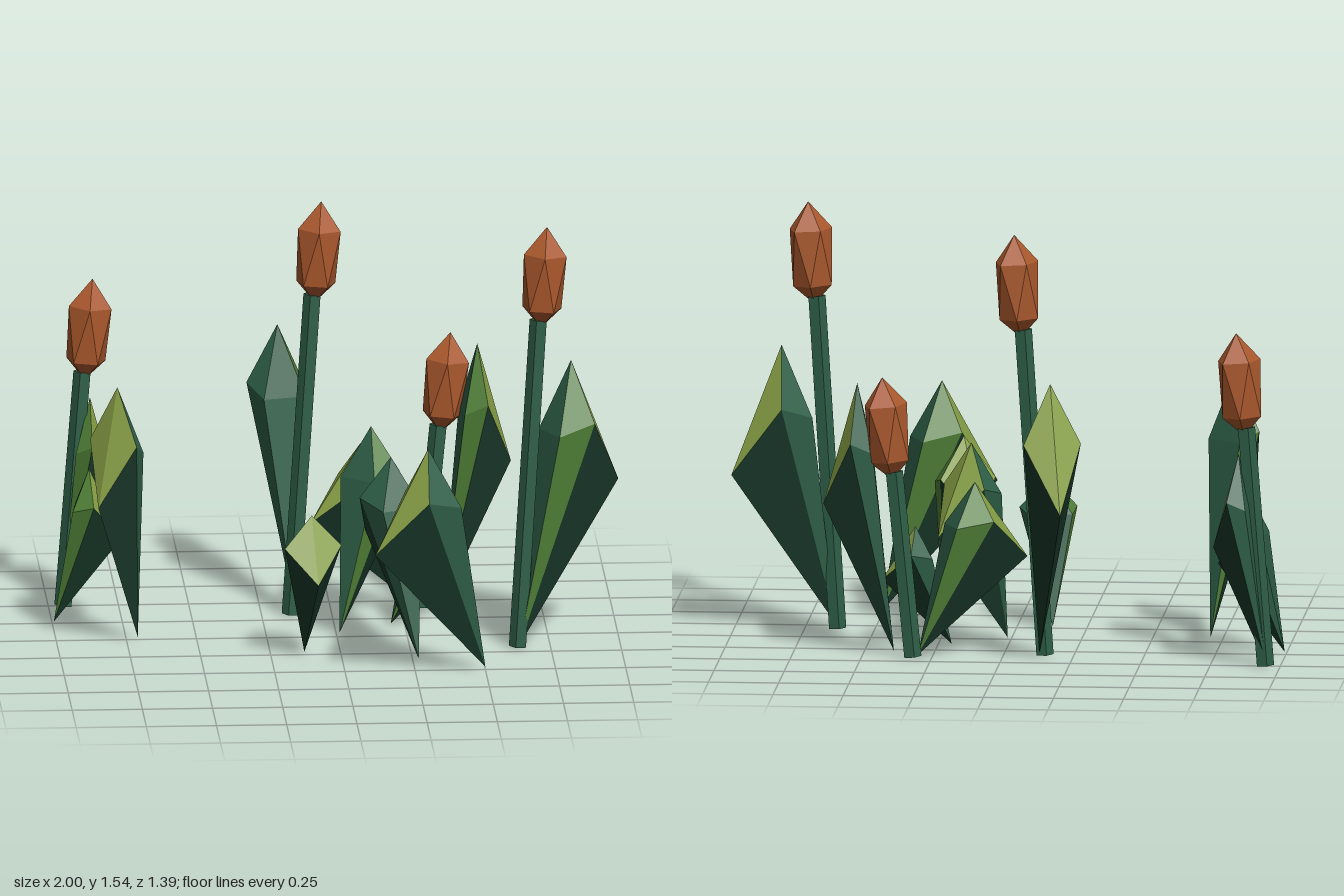
import * as THREE from 'three';
import { ConvexGeometry } from 'three/addons/geometries/ConvexGeometry.js';

const mat = (name, color) => {
  const m = new THREE.MeshStandardMaterial({ color });
  m.name = name;
  return m;
};

// Separate the corners so that every facet is flat
function faceted(geometry) {
  const g = geometry.index ? geometry.toNonIndexed() : geometry;
  g.computeVertexNormals();
  return g;
}

// Leaf: a tilted five-sided ring between a root point and a tip.
// root = [x, z], reach = [x, z] offset of the outermost corner
function leafGeometry(root, reach, height) {
  const len = Math.hypot(reach[0], reach[1]);
  const point = (along, side, y) => [
    root[0] + reach[0] * along - reach[1] / len * side,
    y * height,
    root[1] + reach[1] * along + reach[0] / len * side,
  ];
  const base = point(0, 0, 0.01);
  const tip = point(0.52, 0, 1);
  const ring = [
    point(1, 0, 0.555), point(0.62, 0.104, 0.79), point(0.3, 0.078, 0.75),
    point(0.3, -0.078, 0.75), point(0.62, -0.104, 0.79),
  ];
  // Material slots of the five sides: 0 dark, 1 light, 2 mid, 3 deep
  const upper = [1, 2, 0, 0, 1], lower = [3, 2, 0, 0, 3];
  const g = new THREE.BufferGeometry();
  const corners = [];
  for (let i = 0; i < 5; i++) {
    const a = ring[i], b = ring[(i + 1) % 5];
    corners.push(...tip, ...b, ...a, ...base, ...a, ...b);
    g.addGroup(i * 6, 3, upper[i]);
    g.addGroup(i * 6 + 3, 3, lower[i]);
  }
  g.setAttribute('position', new THREE.Float32BufferAttribute(corners, 3));
  return faceted(g);
}

// Seed head: two twisted five-sided rings between two points
function headGeometry(length) {
  const points = [new THREE.Vector3(0, 0, 0), new THREE.Vector3(0, length, 0)];
  for (const [radius, y, twist] of [[0.073, 0.07, 0], [0.08, length - 0.1, Math.PI / 5]]) {
    for (let i = 0; i < 5; i++) {
      const a = i * Math.PI * 0.4 + twist;
      points.push(new THREE.Vector3(Math.cos(a) * radius, y, Math.sin(a) * radius));
    }
  }
  return faceted(new ConvexGeometry(points));
}

export function createModel() {
  const darkGreen = mat('dark green', 0x2f6048);
  const deepGreen = mat('deep green', 0x1a3a2b);
  const midGreen = mat('mid green', 0x4f7f36);
  const lightGreen = mat('light green', 0x88a146);
  const brown = mat('reed brown', 0xab592d);
  const model = new THREE.Group();
  model.name = 'reeds';

  // Reeds: x, z, total height, sideways drift of the top
  const headLength = 0.37;
  const reeds = [
    [0.635, 0.18, 1.54, 0.095],
    [-0.145, -0.33, 1.515, 0.1],
    [-0.945, -0.5, 1.2, 0.095],
    [0.32, -0.41, 1.01, 0.1],
  ];
  for (const [x, z, height, drift] of reeds) {
    const reed = new THREE.Group();
    reed.name = 'reed';
    reed.position.set(x, 0, z);
    reed.rotation.z = -Math.atan2(drift, height);

    // Five-sided stem with one brighter side
    const length = height - headLength + 0.03;
    const stemGeo = faceted(new THREE.CylinderGeometry(0.033, 0.033, length, 5, 1, false, Math.PI * 0.3));
    stemGeo.clearGroups();
    stemGeo.addGroup(0, 6, 1);
    stemGeo.addGroup(6, stemGeo.attributes.position.count - 6, 0);
    const stem = new THREE.Mesh(stemGeo, [darkGreen, midGreen]);
    stem.name = 'stem';
    stem.position.y = length / 2;

    const head = new THREE.Mesh(headGeometry(headLength), brown);
    head.name = 'seedHead';
    head.position.set(0.008, height - headLength, 0);
    head.rotation.y = 0.25;
    reed.add(stem, head);
    model.add(reed);
  }

  // Leaves: root, reach, height
  const leaves = [
    [[-0.13, -0.36], [-0.1, -0.34], 1.01],
    [[0.39, -0.35], [0.25, -0.02], 0.975],
    [[-0.995, -0.24], [0.24, 0.03], 0.57],
    [[-0.71, 0.01], [-0.15, 0.175], 0.95],
    [[-0.13, 0.24], [0.04, 0.19], 0.53],
    [[0.27, 0.37], [-0.17, -0.37], 0.7],
    [[0.01, -0.02], [0.23, -0.25], 0.73],
    [[0.5, 0.5], [-0.4, 0.155], 0.83],
    [[0.64, 0.2], [0.36, -0.17], 1.03],
    [[0.2, -0.15], [0.245, -0.04], 0.43],
    [[0.3, -0.41], [-0.38, 0.14], 0.62],
    [[-0.95, -0.52], [0.19, 0.03], 0.76],
  ];
  for (const [root, reach, height] of leaves) {
    const leaf = new THREE.Mesh(leafGeometry(root, reach, height),
      [darkGreen, lightGreen, midGreen, deepGreen]);
    leaf.name = 'leaf';
    model.add(leaf);
  }
  return model;
}
